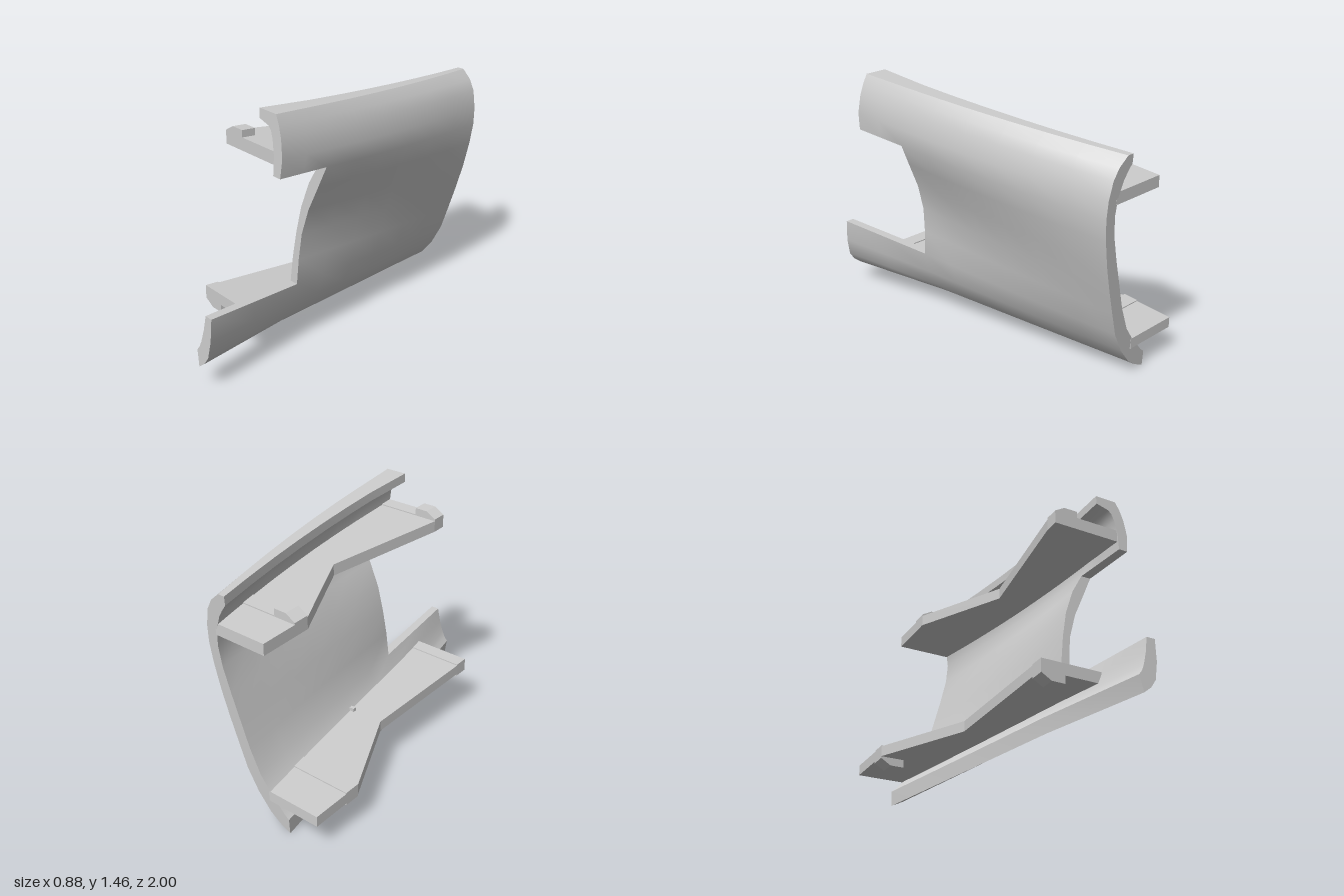
import * as THREE from 'three';
import { toCreasedNormals } from 'three/addons/utils/BufferGeometryUtils.js';

const lerp = THREE.MathUtils.lerp;

// Panel cross-sections from bottom to top: [height, x at back, x at notch, x at front]
const OUTER = [
  [0, -.23, .035, .20], [.035, -.16, .085, .245], [.08, -.10, .13, .277], [.18, -.02, .18, .297],
  [.305, .045, .21, .30], [.45, .09, .215, .3], [.6, .135, .23, .3], [.75, .175, .275, .35],
  [.9, .205, .345, .39], [1.02, .22, .40, .43], [1.12, .217, .415, .44], [1.22, .195, .395, .425],
  [1.28, .16, .375, .405], [1.33, .10, .345, .38], [1.33, .06, .245, .25],
];
const INNER = [
  [.09, -.23, .03, .18], [.115, -.2, .055, .2], [.15, -.17, .08, .215], [.22, -.11, .115, .235],
  [.305, -.05, .155, .25], [.45, .01, .165, .25], [.6, .055, .185, .25], [.75, .10, .215, .27],
  [.9, .14, .27, .3], [1.02, .155, .34, .375], [1.12, .145, .35, .375], [1.2, .115, .335, .36],
  [1.24, .09, .315, .345], [1.26, .075, .295, .325], [1.28, .06, .245, .25],
];
const BACK = -.91, NOTCH = .38;
// Stations along the panel: 0 = back, 1 = notch edge, 2 = front ends
const STATIONS = [0, .17, .34, .5, .67, .84, 1, 1.5, 2];

function panelX(row, p) {
  const bulge = .1 * Math.min(row[0], 1);
  return p <= 1 ? lerp(row[1], row[2], p) + bulge * p * (1 - p) : lerp(row[2], row[3], p - 1);
}

function panelPoint(table, j, p) {
  const row = table[j], v = row[0];
  const end = j < 6 ? 1 : .7;
  const s = p <= 1 ? lerp(BACK, NOTCH, p) : lerp(NOTCH, end, p - 1);
  const z = s - .067 * v;
  return [panelX(row, p), v + lerp(.068, .086, v / 1.33) * (z + .95), z];
}

// Curved shell with a rectangular notch at the front
function panelGeometry() {
  const pos = [];
  const O = (i, j) => panelPoint(OUTER, j, STATIONS[i]);
  const I = (i, j) => panelPoint(INNER, j, STATIONS[i]);
  const quad = (a, b, c, d) => pos.push(...a, ...b, ...c, ...a, ...c, ...d);
  const rim = (a, b) => quad(O(...a), I(...a), I(...b), O(...b));
  const ni = STATIONS.length - 1, nj = OUTER.length - 1;
  const solid = (i, j) => i >= 0 && j >= 0 && i < ni && j < nj &&
    (STATIONS[i] < 1 || j < 4 || j >= 9);
  for (let i = 0; i < ni; i++) for (let j = 0; j < nj; j++) {
    if (!solid(i, j)) continue;
    quad(O(i, j), O(i, j + 1), O(i + 1, j + 1), O(i + 1, j));
    quad(I(i, j), I(i + 1, j), I(i + 1, j + 1), I(i, j + 1));
    if (!solid(i - 1, j)) rim([i, j], [i, j + 1]);
    if (!solid(i + 1, j)) rim([i + 1, j + 1], [i + 1, j]);
    if (!solid(i, j - 1)) rim([i + 1, j], [i, j]);
    if (!solid(i, j + 1)) rim([i, j + 1], [i + 1, j + 1]);
  }
  const geo = new THREE.BufferGeometry();
  geo.setAttribute('position', new THREE.Float32BufferAttribute(pos, 3));
  return toCreasedNormals(geo, .6);
}

// Tilts a geometry so it rises gently toward the front
function slope(geo) {
  const p = geo.attributes.position;
  for (let i = 0; i < p.count; i++) p.setY(i, p.getY(i) + .075 * (p.getZ(i) + .95));
  geo.computeVertexNormals();
  return geo;
}

// Plate with an outline in [x, z], between two heights
function plate(points, y0, y1) {
  const shape = new THREE.Shape(points.map(([x, z]) => new THREE.Vector2(x, -z)));
  const geo = new THREE.ExtrudeGeometry(shape, { depth: y1 - y0, bevelEnabled: false });
  return slope(geo.rotateX(-Math.PI / 2).translate(0, y0, 0));
}

// Chamfered hook at the free edge of a shelf; dir is +1 up or -1 down
function hook(x, y, z0, z1, dir) {
  const pts = [[0, -.01], [0, .01], [.06, .045], [.14, .045], [.14, -.01]];
  const shape = new THREE.Shape(pts.map(([a, b]) => new THREE.Vector2(x + a, y + dir * b)));
  const geo = new THREE.ExtrudeGeometry(shape, { depth: z1 - z0, bevelEnabled: false });
  return slope(geo.translate(0, 0, z0));
}

export function createModel() {
  const model = new THREE.Group();
  const grey = new THREE.MeshStandardMaterial({ color: 0xcccccc });
  grey.name = 'plain grey';
  const add = (parent, name, geo) => {
    const mesh = new THREE.Mesh(geo, grey);
    mesh.name = name;
    parent.add(mesh);
  };

  add(model, 'curvedPanel', panelGeometry());

  const shelves = [
    { name: 'upperShelf', free: [[-.18, -.985], [-.18, -.68], [.09, -.19], [-.03, .54], [-.03, .62]],
      row: 10, y0: 1.085, y1: 1.15, end: .7, dir: 1 },
    { name: 'lowerShelf', free: [[-.44, -.925], [-.44, -.61], [-.175, -.11], [-.18, .61], [-.18, .69]],
      row: 3, y0: .16, y1: .22, end: 1, dir: -1 },
  ];
  for (const { name, free, row, y0, y1, end, dir } of shelves) {
    const shelf = new THREE.Group();
    shelf.name = name;
    const back = free[0][1], mid = free[1][1], front = free[4][1];
    // Edge that meets the inside of the panel
    const wall = (z) => {
      const s = z + .067 * INNER[row][0];
      const p = s <= NOTCH ? (s - BACK) / (NOTCH - BACK) : 1 + (s - NOTCH) / (end - NOTCH);
      return panelX(INNER[row], Math.max(p, 0)) + .01;
    };
    const joined = [front, .38, .1, -.2, -.5, -.75, back].map((z) => [wall(z), z]);
    add(shelf, 'shelfPlate', plate([...free, ...joined], y0, y1));

    // Raised cross bars at both ends, each with a hook at the free edge
    const bars = [[free[1][0], mid - .09, mid], [free[4][0], front - .08, front]];
    for (const [x, z0, z1] of bars) {
      const outline = [[x, z0], [x, z1], [wall(z1) - .01, z1], [wall(z0) - .01, z0]];
      add(shelf, 'crossBar', plate(outline, y1 - .005, y1 + .006));
      add(shelf, 'hook', hook(x, dir > 0 ? y1 : y0, z0, z1, dir));
    }
    model.add(shelf);
  }
  // Small peg where the lower shelf meets the panel
  add(model, 'peg', slope(new THREE.BoxGeometry(.03, .03, .02).translate(.025, .225, -.12)));
  return model;
}
